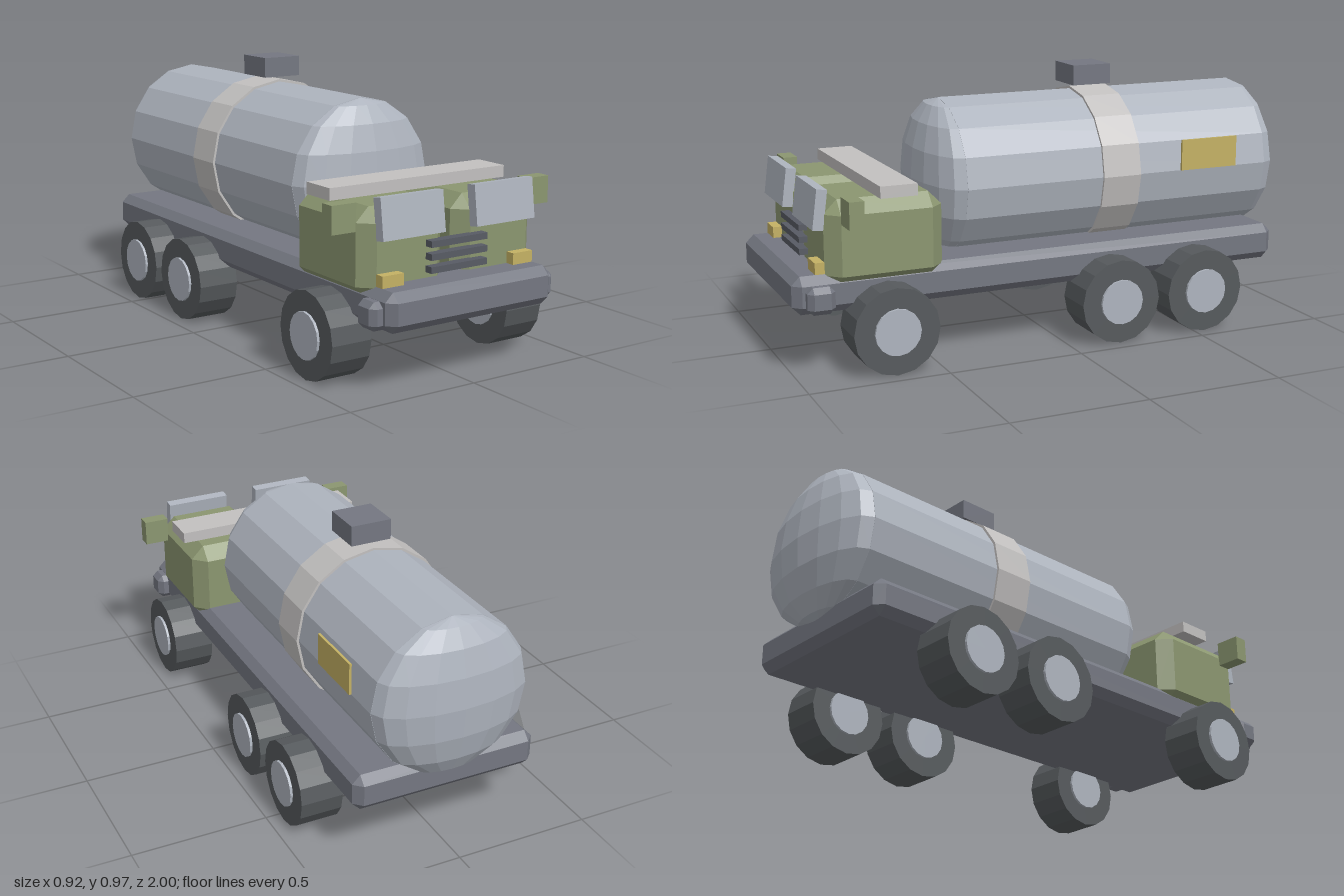
import * as THREE from 'three';
import { ConvexGeometry } from 'three/addons/geometries/ConvexGeometry.js';

const mat = (name, color) => {
  const m = new THREE.MeshStandardMaterial({ color });
  m.name = name;
  return m;
};

// Unshared corners give every facet its own normal
const faceted = (geometry) => {
  const g = geometry.toNonIndexed();
  g.computeVertexNormals();
  return g;
};

// Box with every edge and corner cut at 45 degrees
function chamferBox(w, h, d, c) {
  const points = [];
  for (const sx of [-1, 1]) for (const sy of [-1, 1]) for (const sz of [-1, 1]) {
    for (let axis = 0; axis < 3; axis++) {
      const half = [w / 2, h / 2, d / 2].map((v, i) => (i === axis ? v : v - c));
      points.push(new THREE.Vector3(sx * half[0], sy * half[1], sz * half[2]));
    }
  }
  return new ConvexGeometry(points);
}

export function createModel() {
  const group = new THREE.Group();
  group.name = 'tankerTruck';

  const steel = mat('pale steel', 0xaeb4be);
  const frame = mat('frame grey', 0x747781);
  const dark = mat('grille grey', 0x585b64);
  const rubber = mat('tyre grey', 0x565a5d);
  const green = mat('olive green', 0x8b9670);
  const yellow = mat('dull yellow', 0xc4b164);
  const trim = mat('light trim', 0xc2c0bf);

  const add = (name, geometry, material, x, y, z) => {
    const mesh = new THREE.Mesh(geometry, material);
    mesh.name = name;
    mesh.position.set(x, y, z);
    group.add(mesh);
    return mesh;
  };
  const box = (w, h, d) => new THREE.BoxGeometry(w, h, d);

  // Chassis and bumper
  add('chassis', chamferBox(0.694, 0.135, 1.9, 0.03), frame, 0, 0.283, 0.05);
  add('bumper', chamferBox(0.776, 0.096, 0.098, 0.02), frame, 0, 0.272, 0.91);

  // Tank with flattened domes, running front to back
  const barrel = (r, length) =>
    faceted(new THREE.CylinderGeometry(r, r, length, 16).rotateX(Math.PI / 2));
  const tankY = 0.585;
  add('tank', barrel(0.291, 1.23), steel, 0, tankY, -0.27);
  const dome = faceted(new THREE.SphereGeometry(0.29, 16, 8).scale(1, 1, 0.38));
  add('frontDome', dome, steel, 0, tankY, 0.345);
  add('rearDome', dome, steel, 0, tankY, -0.885);
  add('tankBand', barrel(0.3, 0.152), trim, 0, tankY, -0.265);
  add('tankHatch', box(0.154, 0.075, 0.154), frame, 0, 0.935, -0.245);
  add('sidePlate', box(0.009, 0.115, 0.236), yellow, 0.295, 0.643, -0.632);

  // Cab halves with their fittings, mirrored
  const cab = chamferBox(0.345, 0.31, 0.425, 0.049);
  for (const side of [-1, 1]) {
    add('cabHalf', cab, green, side * 0.193, 0.45, 0.67);
    const pane = add('windscreen', box(0.253, 0.141, 0.038), steel, side * 0.193, 0.573, 0.893);
    pane.rotation.x = -0.13;
    add('mirror', box(0.095, 0.096, 0.053), green, side * 0.411, 0.575, 0.807);
    add('headlight', box(0.085, 0.042, 0.04), yellow, side * 0.275, 0.37, 0.896);
  }
  add('roofBar', box(0.746, 0.042, 0.134), trim, 0, 0.626, 0.63);

  // Grille slats
  for (let i = 0; i < 3; i++) {
    add('grilleSlat', box(0.236, 0.022, 0.036), dark, 0, 0.381 + i * 0.0435, 0.896);
  }

  // Six wheels, hubs showing on both faces
  const roller = (r, width) =>
    faceted(new THREE.CylinderGeometry(r, r, width, 16).rotateZ(Math.PI / 2));
  const tyre = roller(0.155, 0.156);
  const hub = roller(0.083, 0.175);
  for (const z of [0.67, -0.187, -0.538]) {
    for (const side of [-1, 1]) {
      add('tyre', tyre, rubber, side * 0.37, 0.155, z);
      add('hub', hub, steel, side * 0.37, 0.155, z);
    }
  }

  return group;
}
